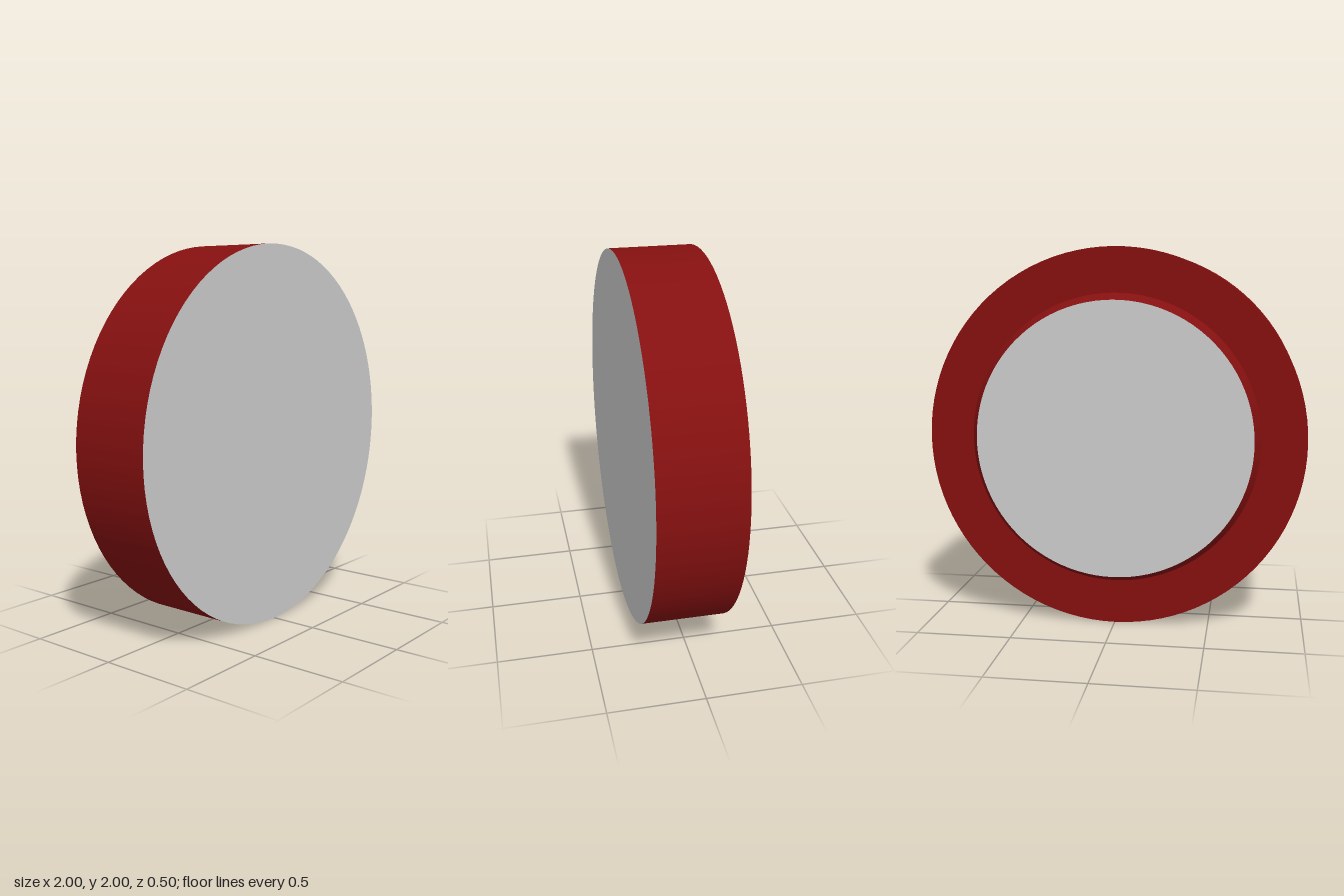
import * as THREE from 'three';

const SEGMENTS = 96;
const RADIUS = 1, BOSS_BASE = 0.765, BOSS_TOP = 0.73;
const FRONT = 0.25, SHOULDER = -0.19, BACK = -0.25;

export function createModel() {
  const group = new THREE.Group();
  const red = new THREE.MeshStandardMaterial({ color: 0x851010 });
  const grey = new THREE.MeshStandardMaterial({ color: 0xcccccc });

  const add = (name, geometry, material) => {
    const mesh = new THREE.Mesh(geometry, material);
    mesh.name = name;
    mesh.position.y = RADIUS;
    group.add(mesh);
  };
  // open wall around the z axis, from a front radius to a back radius
  const wall = (rFront, rBack, zFront, zBack) =>
    new THREE.CylinderGeometry(rFront, rBack, zFront - zBack, SEGMENTS, 1, true)
      .rotateX(Math.PI / 2)
      .translate(0, 0, (zFront + zBack) / 2);

  // main drum: front face, side wall and the flat ring behind
  add('frontFace', new THREE.CircleGeometry(RADIUS, SEGMENTS).translate(0, 0, FRONT), grey);
  add('sideWall', wall(RADIUS, RADIUS, FRONT, SHOULDER), red);
  add('backRing', new THREE.RingGeometry(BOSS_BASE, RADIUS, SEGMENTS).rotateY(Math.PI).translate(0, 0, SHOULDER), red);

  // raised, tapered boss on the back
  add('bossBevel', wall(BOSS_BASE, BOSS_TOP, SHOULDER, BACK), red);
  add('backFace', new THREE.CircleGeometry(BOSS_TOP, SEGMENTS).rotateY(Math.PI).translate(0, 0, BACK), grey);

  return group;
}
